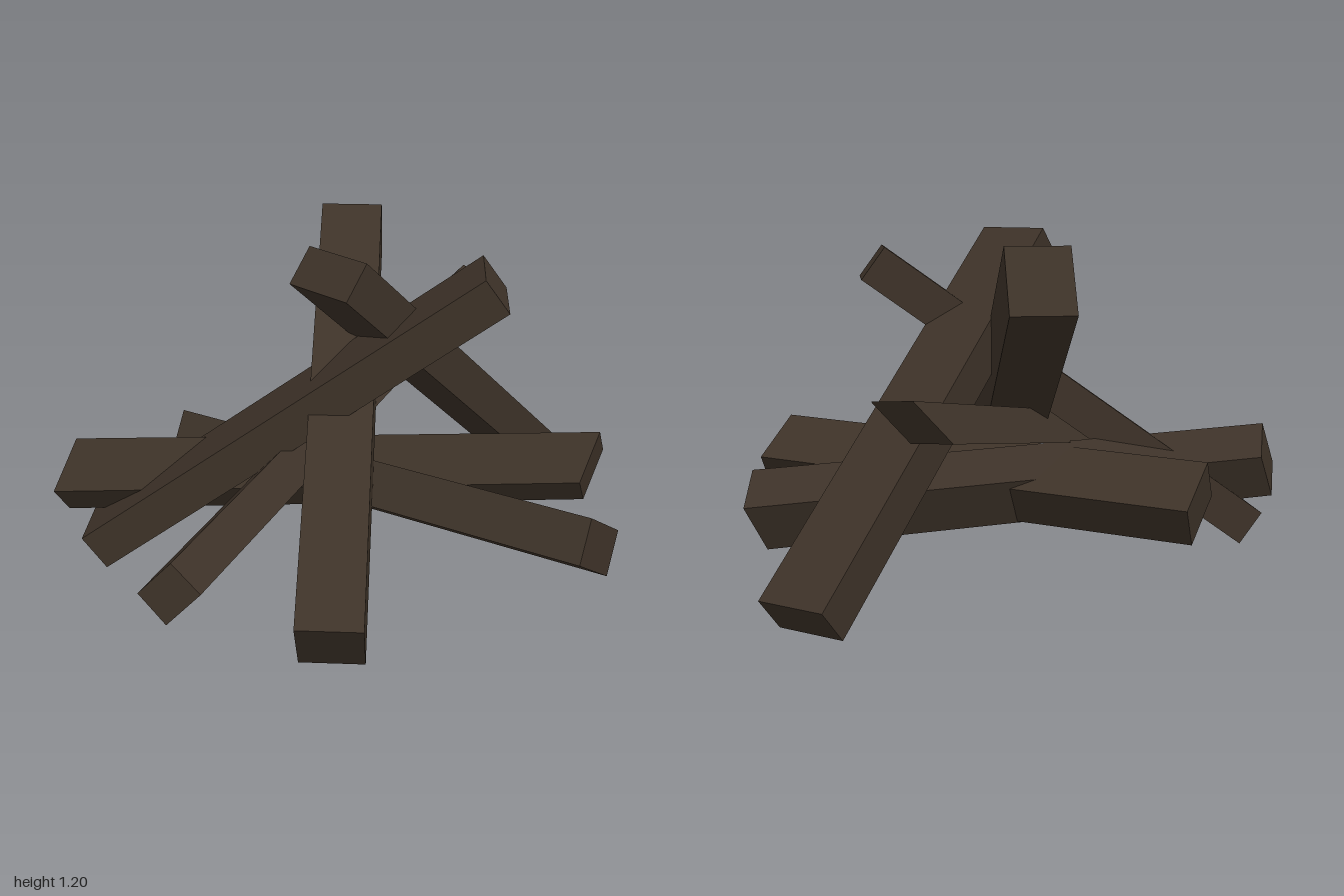
import * as THREE from 'three';

// A skewed beam: centre, length vector, and the two edge vectors of its end face.
function beam(name, material, centre, length, edgeA, edgeB) {
  const [d, a, b] = [length, edgeA, edgeB].map((v) => new THREE.Vector3(...v));
  const matrix = new THREE.Matrix4().makeBasis(d, a, b);
  if (matrix.determinant() < 0) matrix.makeBasis(d, a, b.negate()); // keep faces outward
  const geometry = new THREE.BoxGeometry(1, 1, 1).applyMatrix4(matrix);
  const mesh = new THREE.Mesh(geometry, material);
  mesh.name = name;
  mesh.position.set(...centre);
  return mesh;
}

export function createModel() {
  const group = new THREE.Group();
  group.name = 'beamPile';
  const wood = new THREE.MeshStandardMaterial({ color: 0x3d3228 });
  wood.name = 'darkWood';

  const beams = [
    // steep beam rising towards the back
    ['backLeaningBeam', [0.027, 0.6, 0.165], [0, 0.915, -1.37], [0.212, 0, 0], [0, 0.207, 0.14]],
    // flat beam rising from right to left
    ['sideLeaningBeam', [-0.15, 0.605, 0.165], [1.34, 0.96, 0], [0, 0, 0.25], [-0.08, 0.11, 0]],
    // tallest beam, standing on its lower back end
    ['tallBeam', [0.38, 0.602, -0.198], [-0.79, 1.09, 0.945], [0.19, 0, 0.165], [0.06, 0.105, -0.07]],
    // low beam crossing diagonally
    ['lowDiagonalBeam', [0.157, 0.326, 0.133], [1.4, 0.06, 0.86], [0.11, -0.13, -0.165], [-0.035, -0.13, 0.07]],
    // longest beam, running front to back
    ['longBeam', [0, 0.525, 0], [0.9, 0.33, -1.84], [0.11, 0.12, 0.02], [0.11, -0.02, 0.14]],
    // nearly level beam, running side to side
    ['crossBeam', [0, 0.321, -0.003], [1.818, -0.068, -0.3], [-0.07, -0.16, 0.09], [0.028, -0.11, -0.087]],
  ];
  for (const [name, ...frame] of beams) group.add(beam(name, wood, ...frame));
  return group;
}
